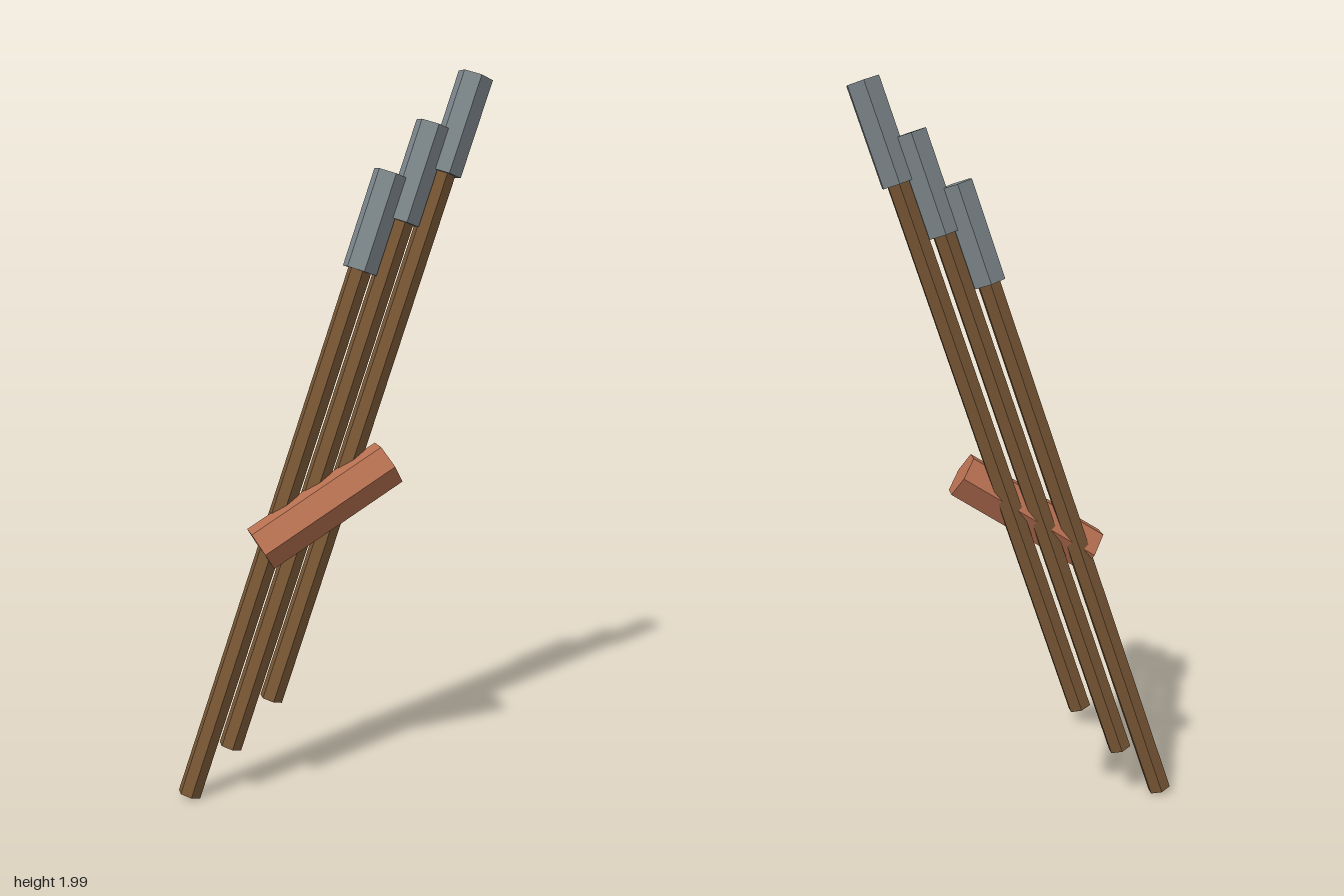
import * as THREE from 'three';

const mat = (name, color) => {
  const m = new THREE.MeshStandardMaterial({ color, flatShading: true });
  m.name = name;
  return m;
};

// Six-sided rod running from point a to point b, one ridge facing the front
function hexRod(name, a, b, radius, material) {
  const dir = b.clone().sub(a);
  const mesh = new THREE.Mesh(new THREE.CylinderGeometry(radius, radius, dir.length(), 6), material);
  mesh.name = name;
  mesh.position.copy(a).add(b).multiplyScalar(0.5);
  mesh.quaternion.setFromUnitVectors(new THREE.Vector3(0, 1, 0), dir.normalize());
  return mesh;
}

export function createModel() {
  const group = new THREE.Group();
  group.name = 'poleBundle';
  const wood = mat('brown wood', 0x7a5836);
  const metal = mat('grey metal', 0x808a8e);
  const clay = mat('terracotta', 0xb87152);

  // Three parallel leaning poles, each stepped up and to the side, with a thick metal tip
  const axis = new THREE.Vector3(0.575, 1.708, 0).normalize();
  for (let i = 0; i < 3; i++) {
    const foot = new THREE.Vector3(-0.412 + i * 0.1175, 0.009 + i * 0.1295, -0.033);
    const at = (d) => foot.clone().addScaledVector(axis, d);
    group.add(hexRod('pole' + (i + 1), at(0), at(1.6), 0.033, wood));
    group.add(hexRod('tip' + (i + 1), at(1.53), at(1.803), 0.049, metal));
  }

  // Cross grip lying over the poles
  group.add(hexRod('crossGrip',
    new THREE.Vector3(-0.211, 0.712, 0.007),
    new THREE.Vector3(0.148, 0.937, 0.012), 0.067, clay));
  return group;
}
